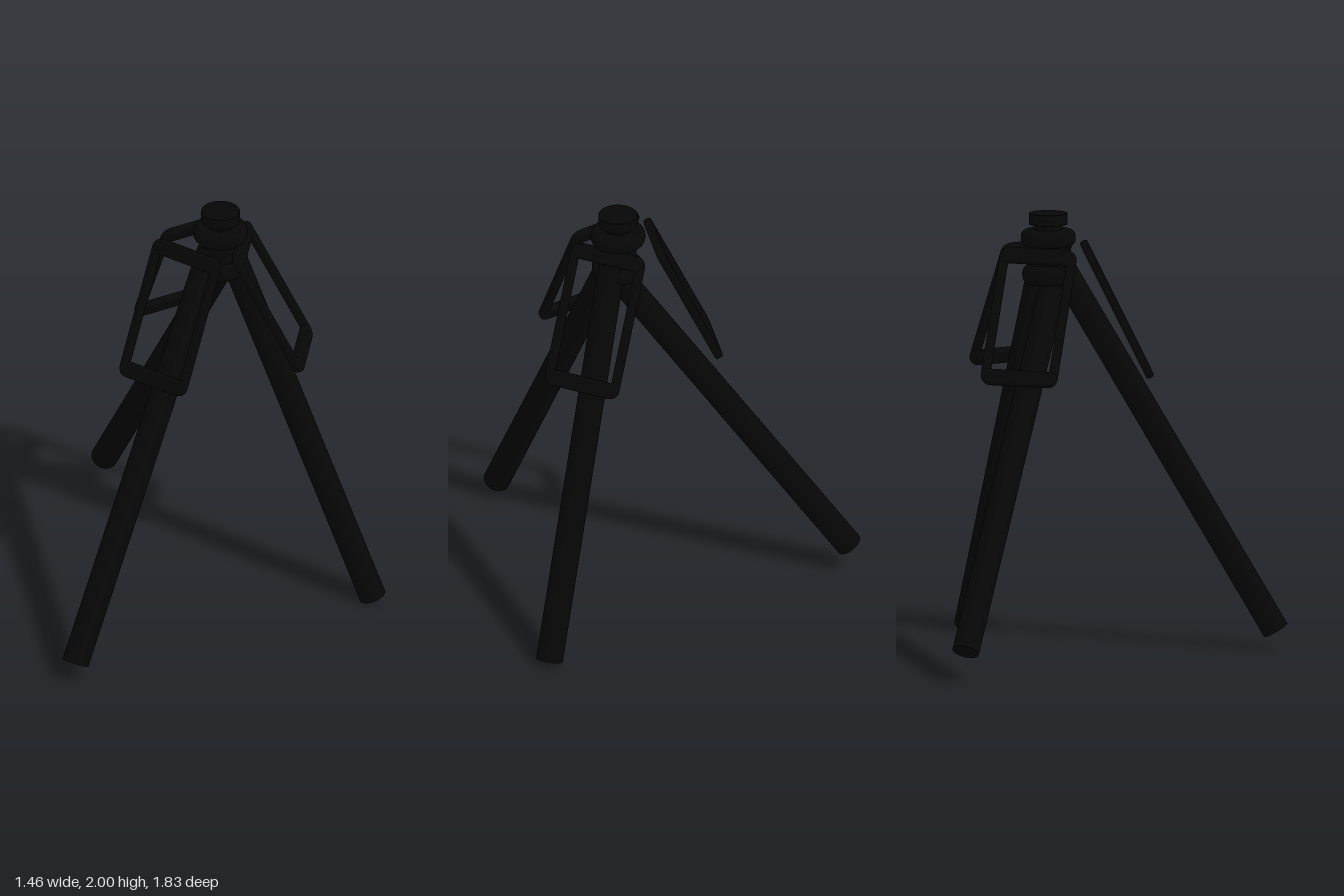
import * as THREE from 'three';

const black = new THREE.MeshStandardMaterial({ color: 0x060606 });
black.name = 'matte black';

const V = (x, y, z) => new THREE.Vector3(x, y, z);

// Rounded rectangle outline centred on the origin
function roundedRect(path, w, h, r) {
  const x = w / 2, y = h / 2;
  path.moveTo(-x + r, -y);
  path.lineTo(x - r, -y);
  path.quadraticCurveTo(x, -y, x, -y + r);
  path.lineTo(x, y - r);
  path.quadraticCurveTo(x, y, x - r, y);
  path.lineTo(-x + r, y);
  path.quadraticCurveTo(-x, y, -x, y - r);
  path.lineTo(-x, -y + r);
  path.quadraticCurveTo(-x, -y, -x + r, -y);
  return path;
}

// Straight tubular leg between two points
function leg(name, top, foot) {
  const dir = top.clone().sub(foot);
  const mesh = new THREE.Mesh(new THREE.CylinderGeometry(0.061, 0.061, dir.length(), 32), black);
  mesh.position.copy(top).add(foot).multiplyScalar(0.5);
  mesh.quaternion.setFromUnitVectors(V(0, 1, 0), dir.normalize());
  mesh.name = name;
  return mesh;
}

// Flat open frame, leaning from its top edge middle to its bottom edge middle
function frame(name, top, bottom) {
  const up = top.clone().sub(bottom);
  const length = up.length(), bevel = 0.01, depth = 0.037;
  up.normalize();
  const side = V(0, 1, 0).cross(V(bottom.x - top.x, 0, bottom.z - top.z)).normalize();
  const out = side.clone().cross(up);

  const shape = roundedRect(new THREE.Shape(), 0.365 - 2 * bevel, length - 2 * bevel, 0.04);
  shape.holes.push(roundedRect(new THREE.Path(), 0.288 + 2 * bevel, length - 0.145 + 2 * bevel, 0.012));
  const geo = new THREE.ExtrudeGeometry(shape, {
    depth: depth - 2 * bevel, bevelEnabled: true, bevelSize: bevel,
    bevelThickness: bevel, bevelSegments: 3, curveSegments: 8,
  });
  geo.translate(0, 0, -depth / 2 + bevel);

  const mesh = new THREE.Mesh(geo, black);
  mesh.quaternion.setFromRotationMatrix(new THREE.Matrix4().makeBasis(side, up, out));
  mesh.position.copy(top).add(bottom).multiplyScalar(0.5);
  mesh.name = name;
  return mesh;
}

// Turned disc with a rounded rim
function disc(name, radius, y0, y1, round) {
  const pts = [new THREE.Vector2(0, y0)];
  for (let i = 0; i <= 8; i++) {
    const a = -Math.PI / 2 + (i / 8) * Math.PI / 2;
    pts.push(new THREE.Vector2(radius - round + Math.cos(a) * round, y0 + round + Math.sin(a) * round));
  }
  for (let i = 0; i <= 8; i++) {
    const a = (i / 8) * Math.PI / 2;
    pts.push(new THREE.Vector2(radius - round + Math.cos(a) * round, y1 - round + Math.sin(a) * round));
  }
  pts.push(new THREE.Vector2(0, y1));
  const mesh = new THREE.Mesh(new THREE.LatheGeometry(pts, 40), black);
  mesh.name = name;
  return mesh;
}

export function createModel() {
  const model = new THREE.Group();
  model.name = 'tripod';

  // Head: lower joint, core, collar, neck and top plate
  const head = new THREE.Group();
  head.name = 'head';
  head.position.set(-0.028, 0, -0.015);
  head.add(
    disc('lowerJoint', 0.118, 1.675, 1.765, 0.04),
    disc('core', 0.085, 1.74, 1.87, 0.005),
    disc('collar', 0.124, 1.85, 1.925, 0.03),
    disc('neck', 0.062, 1.91, 1.96, 0.002),
    disc('topPlate', 0.088, 1.948, 2.0, 0.003),
  );
  model.add(head);

  // Three splayed legs, their tops passing beside one another
  model.add(
    leg('leftLeg', V(0.0, 1.84, -0.014), V(0.667, 0.026, -0.01)),
    leg('frontLeg', V(-0.07, 1.8, 0.0), V(-0.57, 0.09, 0.86)),
    leg('backLeg', V(-0.015, 1.75, 0.045), V(-0.675, 0.142, -0.862)),
  );

  // One open frame over each leg
  model.add(
    frame('leftFrame', V(0.056, 1.858, -0.015), V(0.36, 1.271, -0.015)),
    frame('frontFrame', V(-0.157, 1.858, 0.1), V(-0.294, 1.271, 0.355)),
    frame('backFrame', V(-0.142, 1.858, -0.133), V(-0.313, 1.271, -0.357)),
  );

  return model;
}
